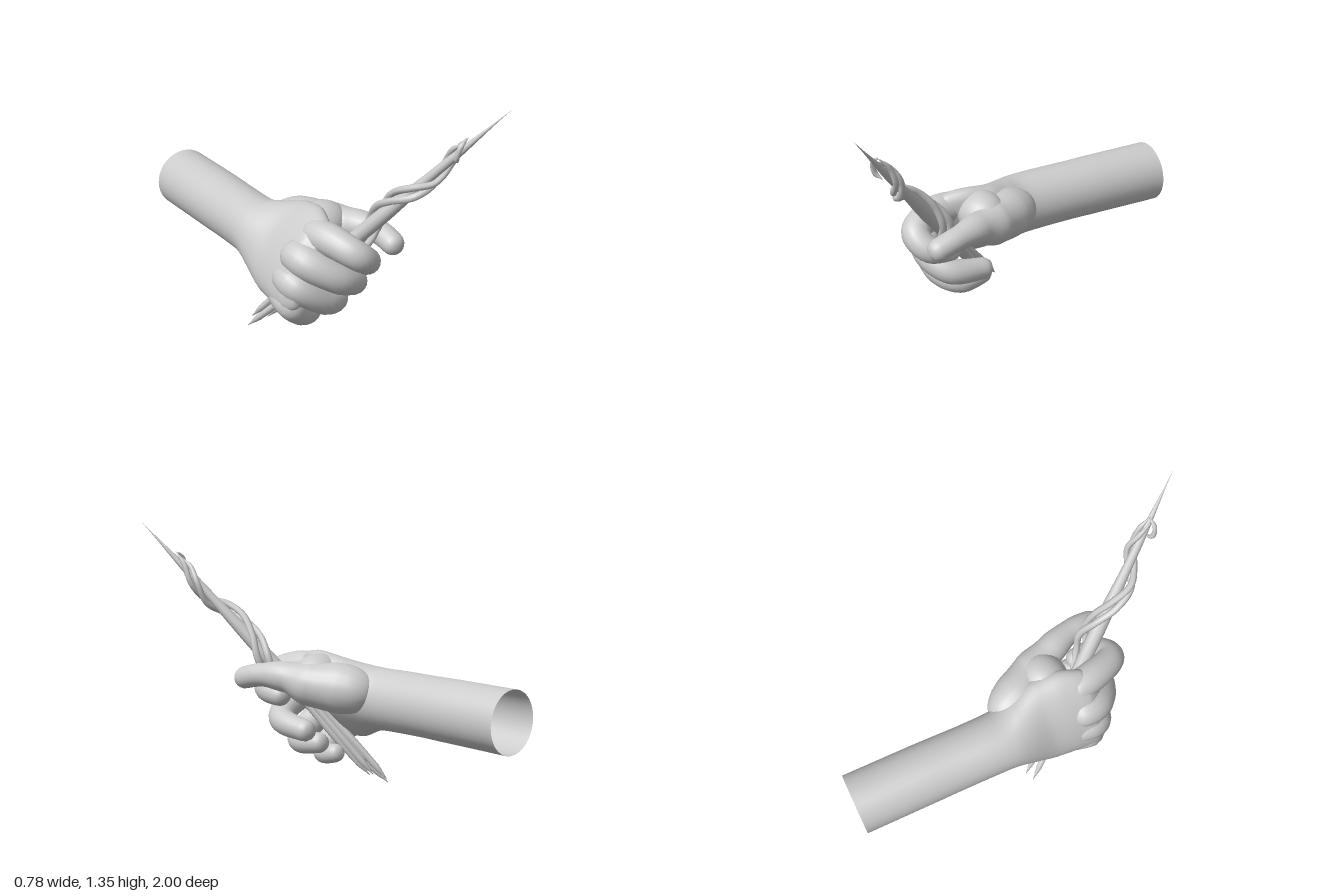
import * as THREE from 'three';
import { mergeVertices } from 'three/addons/utils/BufferGeometryUtils.js';

const V = (x, y, z) => new THREE.Vector3(x, y, z);
const material = new THREE.MeshStandardMaterial({ color: 0xcccccc, side: THREE.DoubleSide });

function addMesh(group, name, geometry) {
  const mesh = new THREE.Mesh(geometry, material);
  mesh.name = name;
  group.add(mesh);
  return mesh;
}

// Weld the seam and smooth the normals
function smooth(geometry) {
  geometry.deleteAttribute('uv');
  geometry.deleteAttribute('normal');
  const welded = mergeVertices(geometry, 1e-5);
  welded.computeVertexNormals();
  return welded;
}

// Round-ended tube through points [x, y, z, radius]
function limb(points, sides = 18, steps = 44) {
  const curve = new THREE.CatmullRomCurve3(points.map((p) => V(p[0], p[1], p[2])));
  const geometry = new THREE.TubeGeometry(curve, steps, 1, sides);
  const position = geometry.attributes.position;
  const length = curve.getLength();
  const v = V(0, 0, 0);
  for (let i = 0; i <= steps; i++) {
    const u = i / steps;
    const centre = curve.getPointAt(u);
    const f = curve.getUtoTmapping(u) * (points.length - 1);
    const k = Math.min(Math.floor(f), points.length - 2);
    let r = THREE.MathUtils.lerp(points[k][3], points[k + 1][3], THREE.MathUtils.smoothstep(f - k, 0, 1));
    const s = Math.min(u, 1 - u) * length;
    if (s < r) r *= Math.sqrt(Math.max(0, 1 - ((r - s) / r) ** 2));
    for (let j = 0; j <= sides; j++) {
      const n = i * (sides + 1) + j;
      v.fromBufferAttribute(position, n).sub(centre).multiplyScalar(r).add(centre);
      position.setXYZ(n, v.x, v.y, v.z);
    }
  }
  return smooth(geometry);
}

// Forearm and palm: tilted ellipses [cx, cy, z, long half, short half, tilt], open at the arm end
function armGeometry() {
  const sections = [
    [-0.21, 0.47, -1, 0.157, 0.157, 0.7],
    [-0.215, 0.475, -0.6, 0.156, 0.155, 0.7],
    [-0.22, 0.475, -0.22, 0.155, 0.155, 0.8],
    [-0.215, 0.468, -0.1, 0.19, 0.148, 0.95],
    [-0.21, 0.46, 0.04, 0.25, 0.12, 1.0],
    [-0.222, 0.467, 0.17, 0.262, 0.105, 1.02],
    [-0.24, 0.46, 0.28, 0.245, 0.09, 1.05],
    [-0.235, 0.45, 0.34, 0.2, 0.06, 1.05],
    [-0.23, 0.45, 0.365, 0.01, 0.01, 1.05],
  ];
  const centres = new THREE.CatmullRomCurve3(sections.map((s) => V(s[0], s[1], s[2])));
  const shapes = new THREE.CatmullRomCurve3(sections.map((s) => V(s[3], s[4], s[5])));
  const rows = 64, sides = 36, vertices = [], index = [];
  for (let i = 0; i <= rows; i++) {
    const c = centres.getPoint(i / rows), e = shapes.getPoint(i / rows);
    for (let j = 0; j < sides; j++) {
      const a = (j / sides) * Math.PI * 2;
      const p = Math.cos(a) * e.x, q = Math.sin(a) * e.y;
      vertices.push(
        c.x + p * Math.cos(e.z) - q * Math.sin(e.z),
        c.y + p * Math.sin(e.z) + q * Math.cos(e.z),
        c.z
      );
      if (i < rows) {
        const m = i * sides + j, n = i * sides + ((j + 1) % sides);
        index.push(m, n, n + sides, m, n + sides, m + sides);
      }
    }
  }
  const geometry = new THREE.BufferGeometry();
  geometry.setAttribute('position', new THREE.Float32BufferAttribute(vertices, 3));
  geometry.setIndex(index);
  geometry.computeVertexNormals();
  return geometry;
}

export function createModel() {
  const model = new THREE.Group();
  const hand = new THREE.Group();
  hand.name = 'hand';
  const wand = new THREE.Group();
  wand.name = 'wand';
  model.add(hand, wand);

  addMesh(hand, 'forearmAndPalm', armGeometry());

  // Fingers: buried root, knuckle, two joints, tip
  const fingers = {
    indexFinger: [
      [-0.17, 0.58, 0.18, 0.08], [-0.15, 0.595, 0.33, 0.08], [-0.085, 0.55, 0.475, 0.072],
      [0.0, 0.485, 0.45, 0.066], [0.015, 0.45, 0.28, 0.055],
    ],
    middleFinger: [
      [-0.26, 0.5, 0.16, 0.08], [-0.26, 0.49, 0.3, 0.085], [-0.14, 0.41, 0.395, 0.075],
      [0.0, 0.335, 0.34, 0.066], [0.01, 0.29, 0.1, 0.055],
    ],
    ringFinger: [
      [-0.29, 0.38, 0.14, 0.075], [-0.305, 0.37, 0.285, 0.08], [-0.17, 0.27, 0.325, 0.07],
      [-0.055, 0.225, 0.26, 0.062], [-0.06, 0.235, 0.07, 0.052],
    ],
    littleFinger: [
      [-0.3, 0.28, 0.1, 0.065], [-0.325, 0.26, 0.26, 0.066], [-0.25, 0.19, 0.245, 0.062],
      [-0.16, 0.155, 0.19, 0.055], [-0.15, 0.175, 0.05, 0.046],
    ],
  };
  for (const [name, points] of Object.entries(fingers)) addMesh(hand, name, limb(points));

  // Thumb with its fleshy base, and the web towards the index finger
  addMesh(hand, 'thumb', limb([
    [-0.13, 0.51, -0.2, 0.1], [-0.06, 0.53, -0.03, 0.128], [0.02, 0.545, 0.1, 0.112],
    [0.08, 0.575, 0.22, 0.078], [0.128, 0.575, 0.36, 0.06], [0.14, 0.535, 0.52, 0.056],
  ], 22, 56));
  const web = addMesh(hand, 'thumbWeb', new THREE.SphereGeometry(1, 24, 16));
  web.position.set(-0.05, 0.575, 0.12);
  web.scale.set(0.14, 0.115, 0.12);

  // Tapering shaft
  const base = V(-0.33, 0, -0.1), tip = V(0.39, 1.35, 1);
  const along = (t) => base.clone().lerp(tip, t);
  const axis = tip.clone().sub(base).normalize();
  const side = V(1, 0, 0).addScaledVector(axis, -axis.x).normalize();
  const back = axis.clone().cross(side);
  const around = (t, angle, r) => along(t)
    .addScaledVector(side, Math.cos(angle) * r)
    .addScaledVector(back, Math.sin(angle) * r);
  const shaft = [[0.08, 0.022], [0.25, 0.036], [0.5, 0.038], [0.75, 0.022], [1, 0.001]];
  addMesh(wand, 'shaft', limb(shaft.map(([t, r]) => [...along(t).toArray(), r]), 10));

  // Split strands at the lower end, each ending in a point
  [[0.0, 3.4], [0.012, 1.5], [0.05, 5.6], [0.045, 0.2]].forEach(([start, angle], i) => {
    const points = [[0, 0.002], [0.05, 0.017], [0.14, 0.02], [0.3, 0.016]].map(([t, r]) =>
      [...around(start + t, angle + t * 3, 0.03).toArray(), r]);
    addMesh(wand, 'strand' + (i + 1), limb(points, 6, 20));
  });

  // Vines winding up the shaft: [position along shaft, angle, distance, thickness]
  const winding = [
    [0.36, -0.9, 0.04, 0.012], [0.43, -0.7, 0.07, 0.018], [0.49, 0.1, 0.075, 0.019],
    [0.55, 1.1, 0.055, 0.018], [0.61, 2.3, 0.055, 0.018], [0.67, 3.3, 0.06, 0.018],
    [0.715, 4.7, 0.04, 0.016], [0.77, 6.2, 0.04, 0.015], [0.82, 7.4, 0.032, 0.013],
    [0.865, 8.4, 0.026, 0.002],
  ];
  [0, 0.65].forEach((turn, i) => {
    const points = winding.map(([t, angle, r, thick]) =>
      [...around(t - i * 0.015, angle + turn, r).toArray(), thick]);
    addMesh(wand, 'vine' + (i + 1), limb(points, 7, 70));
  });

  // Small curled shoot near the top
  addMesh(wand, 'shoot', limb([
    [...around(0.86, 2.2, 0.03).toArray(), 0.006], [...around(0.84, 3.2, 0.045).toArray(), 0.013],
    [...around(0.81, 3.9, 0.045).toArray(), 0.013], [...around(0.8, 5, 0.03).toArray(), 0.003],
  ], 6, 20));

  return model;
}
